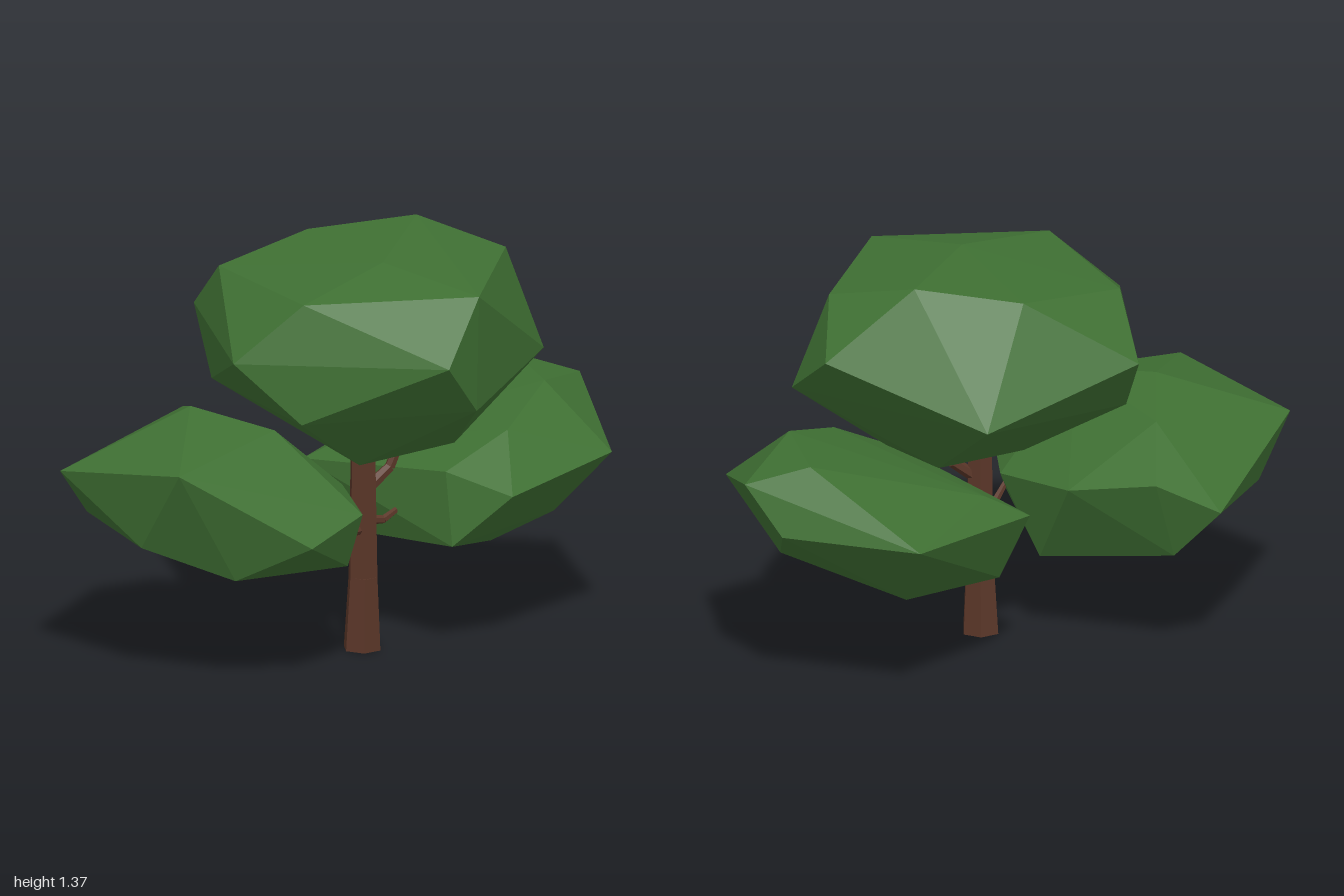
import * as THREE from 'three';
import { ConvexGeometry } from 'three/addons/geometries/ConvexGeometry.js';

const leaf = new THREE.MeshStandardMaterial({ color: 0x3f7033, flatShading: true });
const bark = new THREE.MeshStandardMaterial({ color: 0x5a3628, flatShading: true });

// Faceted foliage clump from its corner points
function clump(name, corners) {
  const geometry = new ConvexGeometry(corners.map(p => new THREE.Vector3(...p)));
  const mesh = new THREE.Mesh(geometry, leaf);
  mesh.name = name;
  return mesh;
}

// Tapered hexagonal limb through a list of [x, y, z, radius] joints
function limb(name, joints) {
  const group = new THREE.Group();
  group.name = name;
  for (let i = 0; i < joints.length - 1; i++) {
    const a = new THREE.Vector3(...joints[i]);
    const b = new THREE.Vector3(...joints[i + 1]);
    const dir = b.clone().sub(a);
    const geometry = new THREE.CylinderGeometry(joints[i + 1][3], joints[i][3], dir.length(), 6);
    const mesh = new THREE.Mesh(geometry, bark);
    mesh.name = name + 'Segment';
    mesh.position.copy(a).lerp(b, 0.5);
    mesh.quaternion.setFromUnitVectors(new THREE.Vector3(0, 1, 0), dir.normalize());
    group.add(mesh);
  }
  return group;
}

export function createModel() {
  const tree = new THREE.Group();
  tree.name = 'tree';

  // Trunk, flared at the foot
  tree.add(limb('trunk', [
    [0.092, 0, 0, 0.066], [0.097, 0.25, 0, 0.052], [0.097, 0.75, 0, 0.043],
  ]));

  // Short crooked branches
  tree.add(limb('frontBranch', [
    [0.1, 0.41, 0, 0.016], [0.14, 0.42, 0.08, 0.014], [0.15, 0.48, 0.13, 0.01],
  ]));
  tree.add(limb('backBranch', [
    [0.1, 0.44, -0.02, 0.016], [0.1, 0.43, -0.08, 0.014], [0.09, 0.46, -0.16, 0.01],
  ]));
  tree.add(limb('upperBranch', [
    [0.1, 0.55, -0.02, 0.022], [0.11, 0.61, -0.1, 0.018], [0.12, 0.72, -0.15, 0.014],
  ]));

  tree.add(clump('topFoliage', [
    // crown
    [-0.16, 1.365, -0.41], [0.18, 1.34, -0.02], [-0.36, 1.32, -0.11],
    [-0.3, 1.275, 0.3], [0.28, 1.28, 0.38], [0.54, 1.28, -0.15], [0.12, 1.29, -0.57],
    // widest ring
    [0.16, 1.085, 0.58], [0.63, 1.08, 0.04], [-0.07, 1.13, -0.7], [-0.52, 1.09, 0.24],
    [0.21, 0.95, -0.66], [-0.51, 0.95, -0.34], [0.54, 0.89, -0.14],
    [0.31, 0.88, 0.41], [-0.34, 0.88, 0.3],
    // underside
    [0.24, 0.68, 0.12], [0.2, 0.68, -0.3], [-0.1, 0.69, -0.28], [-0.1, 0.69, 0.05],
  ]));

  tree.add(clump('frontFoliage', [
    // crown
    [-0.12, 0.875, 0.55], [0.16, 0.83, 0.41], [-0.35, 0.8, 0.41],
    [0.25, 0.765, 0.87], [-0.25, 0.695, 0.99],
    // widest ring
    [-0.53, 0.65, 0.3], [-0.63, 0.55, 0.49], [0.49, 0.51, 0.5], [0.42, 0.57, 0.24],
    [-0.33, 0.51, 0.82], [0.04, 0.475, 0.87], [0.05, 0.56, 0.05], [-0.3, 0.6, 0.1],
    // underside
    [0.28, 0.38, 0.66], [0.35, 0.38, 0.25], [-0.48, 0.37, 0.4], [-0.07, 0.29, 0.13],
  ]));

  tree.add(clump('backFoliage', [
    // crown
    [-0.17, 0.82, -0.82], [0.16, 0.82, -0.7], [0.32, 0.73, -0.43], [-0.05, 0.755, -1],
    // widest ring
    [0.4, 0.61, -0.8], [0.51, 0.56, -0.31], [0.3, 0.62, -0.19], [-0.19, 0.6, -0.94],
    [-0.56, 0.6, -0.63], [-0.32, 0.55, -0.06], [-0.25, 0.62, -0.19],
    // underside
    [0.35, 0.375, -0.18], [0.2, 0.38, -0.71], [0.2, 0.32, -0.45],
    [-0.24, 0.31, -0.49], [-0.24, 0.32, -0.13],
  ]));

  return tree;
}
